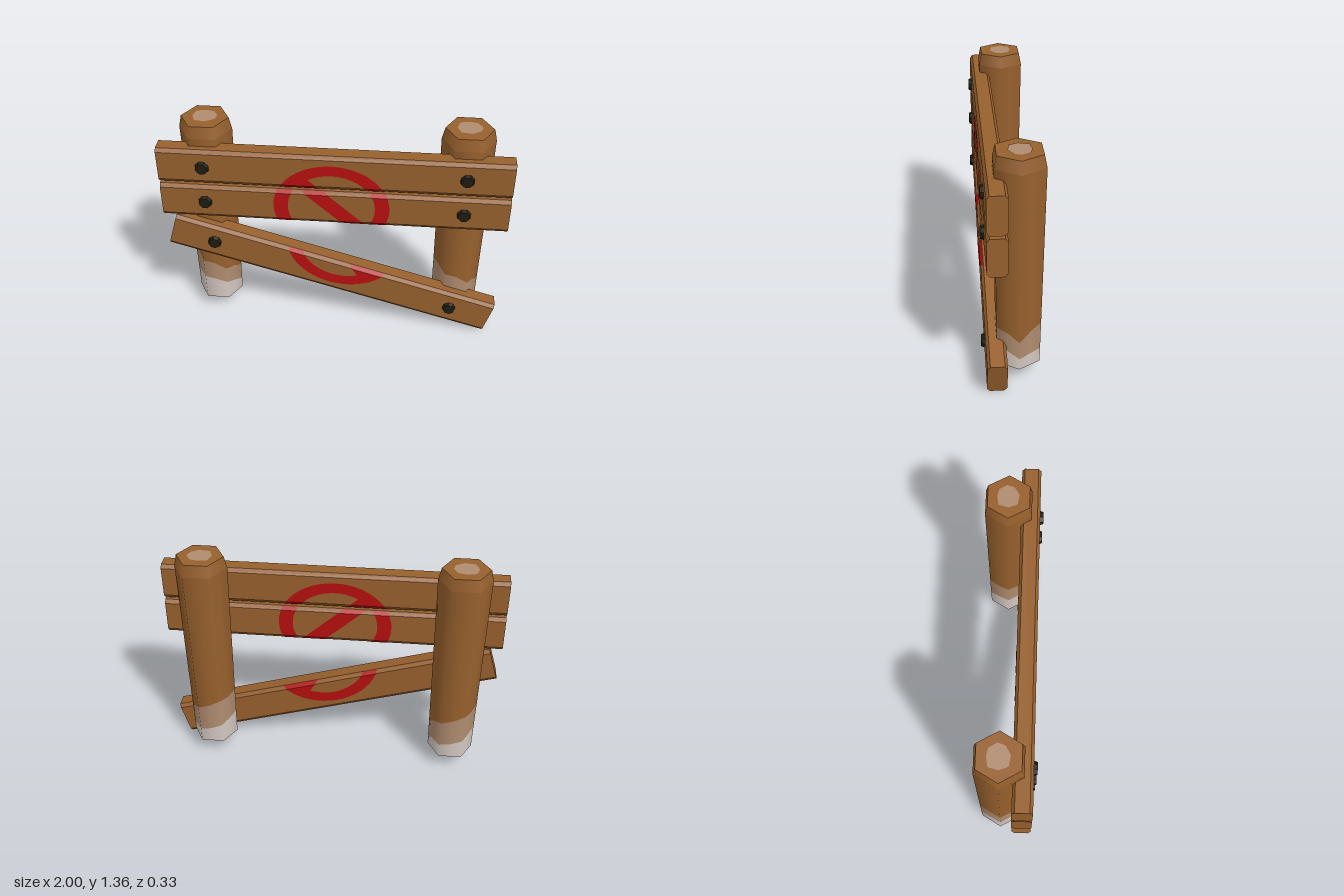
import * as THREE from 'three';

const mat = (name, color) => Object.assign(new THREE.MeshStandardMaterial({ color }), { name });
const wood = mat('brown wood', 0x97602d);
const worn = mat('worn tan wood', 0xb08c70);
const pale = mat('pale wood', 0xd3c7c0);
const red = mat('red paint', 0xb60f0f);
const iron = mat('dark iron', 0x1f1d11);

const add = (parent, name, geometry, material, x = 0, y = 0, z = 0) => {
  const mesh = new THREE.Mesh(geometry, material);
  mesh.name = name;
  mesh.position.set(x, y, z);
  parent.add(mesh);
  return mesh;
};

// ---- Posts: six-sided, slightly wider at the shoulder, with uneven worn bands
const BASE = 0.1, SHOULDER = 1.29, TOP = 1.36;
const postRadius = (y) => 0.135 + 0.017 * (y - BASE) / (SHOULDER - BASE);
const level = (y) => Array(12).fill(y);
const paleTop = [0.17, 0.2, 0.23, 0.25, 0.27, 0.26, 0.26, 0.24, 0.23, 0.2, 0.19, 0.18];
const wornTop = [0.28, 0.32, 0.34, 0.38, 0.4, 0.42, 0.43, 0.41, 0.42, 0.38, 0.36, 0.33];

// Smooth-shaded hexagonal band between two height lists (corners and mid-sides)
function band(low, high) {
  const pos = [], nor = [], idx = [];
  for (let i = 0; i <= 12; i++) {
    const a = i * Math.PI / 6;
    const k = i % 2 ? Math.cos(Math.PI / 6) : 1;
    for (const y of [low[i % 12], high[i % 12]]) {
      const r = postRadius(y) * k;
      pos.push(Math.cos(a) * r, y, Math.sin(a) * r);
      nor.push(Math.cos(a), 0, Math.sin(a));
    }
    if (i < 12) {
      const l = i * 2;
      idx.push(l, l + 1, l + 3, l, l + 3, l + 2);
    }
  }
  const g = new THREE.BufferGeometry();
  g.setAttribute('position', new THREE.Float32BufferAttribute(pos, 3));
  g.setAttribute('normal', new THREE.Float32BufferAttribute(nor, 3));
  g.setIndex(idx);
  return g;
}

function makePost(name, x) {
  const post = new THREE.Group();
  post.name = name;
  post.position.set(x, 0, -0.035);
  add(post, 'paleFoot', band(level(BASE), paleTop), pale);
  add(post, 'wornBand', band(paleTop, wornTop), worn);
  add(post, 'postShaft', band(wornTop, level(SHOULDER)), wood);
  add(post, 'postShoulder', new THREE.CylinderGeometry(0.136, 0.152, TOP - SHOULDER, 6, 1, true, Math.PI / 2),
    wood, 0, (TOP + SHOULDER) / 2);
  add(post, 'postTop', new THREE.CircleGeometry(0.136, 6).rotateX(-Math.PI / 2), wood, 0, TOP);
  add(post, 'postBottom', new THREE.CircleGeometry(0.135, 6).rotateX(Math.PI / 2), pale, 0, BASE);
  // Irregular worn patch on the top
  const patch = [[-0.07, 0], [-0.05, -0.05], [0.01, -0.06], [0.06, -0.03], [0.072, 0.01], [0.045, 0.055], [0, 0.065], [-0.055, 0.055]];
  const shape = new THREE.Shape(patch.map(([u, v]) => new THREE.Vector2(u, v)));
  add(post, 'topPatch', new THREE.ShapeGeometry(shape).rotateX(-Math.PI / 2), worn, 0, TOP + 0.003);
  return post;
}

// ---- Planks: long boards with chamfered edges
const H = 0.11, T = 0.055, CY = 0.022, CZ = 0.016;
function plankGeometry() {
  const s = new THREE.Shape([
    [T - CZ, -H], [T, -H + CY], [T, H - CY], [T - CZ, H],
    [-T + CZ, H], [-T, H - CY], [-T, -H + CY], [-T + CZ, -H],
  ].map(([u, v]) => new THREE.Vector2(u, v)));
  return new THREE.ExtrudeGeometry(s, { depth: 2, bevelEnabled: false }).translate(0, 0, -1).rotateY(Math.PI / 2);
}

// Keep the part of a convex polygon where sign * (y - limit) >= 0
function clip(poly, limit, sign) {
  const out = [];
  poly.forEach((p, i) => {
    const q = poly[(i + 1) % poly.length];
    const a = sign * (p[1] - limit), b = sign * (q[1] - limit);
    if (a >= 0) out.push(p);
    if (a * b < 0) {
      const t = a / (a - b);
      out.push([p[0] + (q[0] - p[0]) * t, limit]);
    }
  });
  return out;
}

// Painted ring and slash, cut to one plank and laid over its face and chamfers
function emblemGeometry(centreY, side) {
  const polys = [];
  const N = 48;
  const at = (i, rx, ry) => [Math.cos(i * 2 * Math.PI / N) * rx, Math.sin(i * 2 * Math.PI / N) * ry];
  for (let i = 0; i < N; i++) {
    polys.push([at(i, 0.333, 0.285), at(i + 1, 0.333, 0.285), at(i + 1, 0.25, 0.22), at(i, 0.25, 0.22)]);
  }
  polys.push([[-0.137, 0.19], [-0.235, 0.16], [0.157, -0.19], [0.255, -0.16]]);
  const pos = [];
  const zAt = (y) => side * (T + 0.003 - CZ * Math.max(0, (Math.abs(y) - H + CY) / CY));
  const cuts = [-H, -H + CY, H - CY, H];
  for (const poly of polys) {
    const moved = poly.map(([x, y]) => [x - 0.012, y + centreY]);
    for (let b = 0; b < 3; b++) {
      const p = clip(clip(moved, cuts[b], 1), cuts[b + 1], -1);
      for (let i = 1; i < p.length - 1; i++) {
        const tri = side > 0 ? [p[0], p[i], p[i + 1]] : [p[0], p[i + 1], p[i]];
        for (const [x, y] of tri) pos.push(x, y, zAt(y));
      }
    }
  }
  const g = new THREE.BufferGeometry();
  g.setAttribute('position', new THREE.Float32BufferAttribute(pos, 3));
  g.computeVertexNormals();
  return g;
}

function makePlank(name, y, tilt, emblemY) {
  const plank = new THREE.Group();
  plank.name = name;
  plank.position.set(0, y, 0.09);
  plank.rotation.z = tilt;
  add(plank, 'board', plankGeometry(), wood);
  add(plank, 'frontPaint', emblemGeometry(emblemY, 1), red);
  add(plank, 'backPaint', emblemGeometry(emblemY, -1), red);
  for (const x of [-0.742, 0.742]) {
    const bolt = new THREE.CylinderGeometry(0.034, 0.042, 0.022, 8, 1, false, Math.PI / 8).rotateX(Math.PI / 2);
    const boltMesh = add(plank, 'bolt', bolt, iron, x, 0, T + 0.009);
    boltMesh.geometry = bolt.toNonIndexed();
    boltMesh.geometry.computeVertexNormals();
    add(plank, 'boltBack', new THREE.CircleGeometry(0.042, 8).rotateY(Math.PI), iron, x, 0, -T - 0.003);
  }
  return plank;
}

export function createModel() {
  const model = new THREE.Group();
  model.name = 'brokenBarrier';
  model.add(
    makePost('leftPost', 0.742),
    makePost('rightPost', -0.742),
    makePlank('topPlank', 1.132, 0, -0.232),
    makePlank('middlePlank', 0.896, 0, 0.004),
    makePlank('fallenPlank', 0.392, -0.288, 0.23),
  );
  return model;
}
